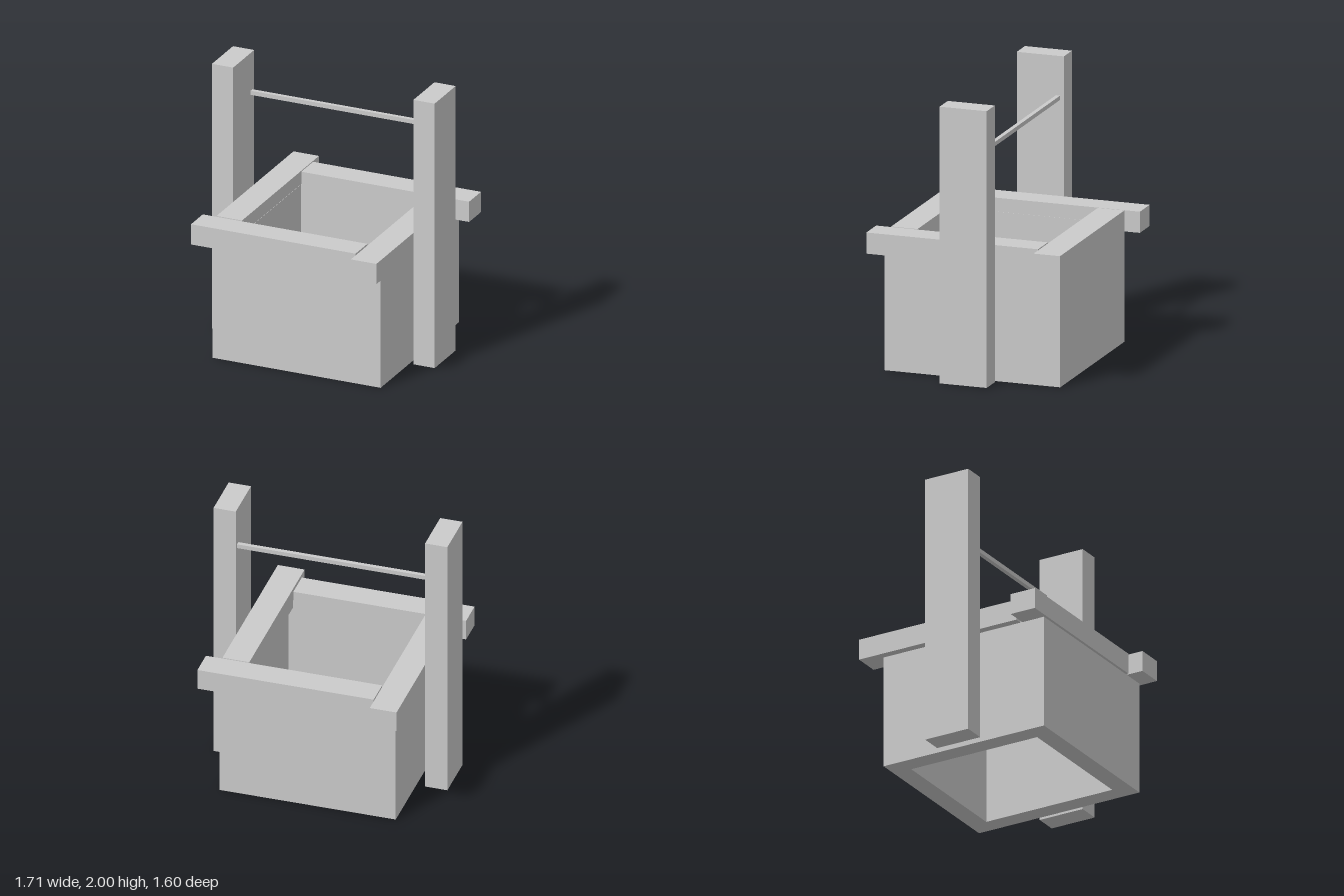
import * as THREE from 'three';

const material = new THREE.MeshStandardMaterial({ color: 0xcccccc, flatShading: true });

// Box given by its extents along each axis
function beam(name, [x0, x1], [y0, y1], [z0, z1]) {
  const mesh = new THREE.Mesh(new THREE.BoxGeometry(x1 - x0, y1 - y0, z1 - z0), material);
  mesh.position.set((x0 + x1) / 2, (y0 + y1) / 2, (z0 + z1) / 2);
  mesh.name = name;
  return mesh;
}

function rectangle(path, x0, x1, y0, y1) {
  path.moveTo(x0, y0);
  path.lineTo(x1, y0);
  path.lineTo(x1, y1);
  path.lineTo(x0, y1);
  path.closePath();
  return path;
}

export function createModel() {
  const well = new THREE.Group();
  well.name = 'well';

  // Square shaft, open at top and bottom (shape y becomes -z)
  const outline = rectangle(new THREE.Shape(), -0.63, 0.66, -0.67, 0.635);
  outline.holes.push(rectangle(new THREE.Path(), -0.49, 0.525, -0.53, 0.495));
  const shaftGeometry = new THREE.ExtrudeGeometry(outline, { depth: 0.89, bevelEnabled: false });
  shaftGeometry.rotateX(-Math.PI / 2);
  const shaft = new THREE.Mesh(shaftGeometry, material);
  shaft.name = 'shaft';
  well.add(shaft);

  // Rim beams, each overshooting one corner in a pinwheel
  const rim = [0.837, 0.99];
  well.add(
    beam('rimFront', [-0.787, 0.477], rim, [0.494, 0.69]),
    beam('rimLeft', [0.49, 0.686], rim, [-0.48, 0.797]),
    beam('rimBack', [-0.485, 0.804], rim, [-0.687, -0.49]),
    beam('rimRight', [-0.688, -0.492], rim, [-0.8, 0.48])
  );

  // Upright posts and the crossbar between them
  const postDepth = [-0.16, 0.19];
  well.add(
    beam('postRight', [-0.857, -0.694], [0, 2], postDepth),
    beam('postLeft', [0.69, 0.853], [0, 2], postDepth),
    beam('crossbar', [-0.694, 0.69], [1.683, 1.714], [-0.132, -0.101])
  );
  return well;
}
